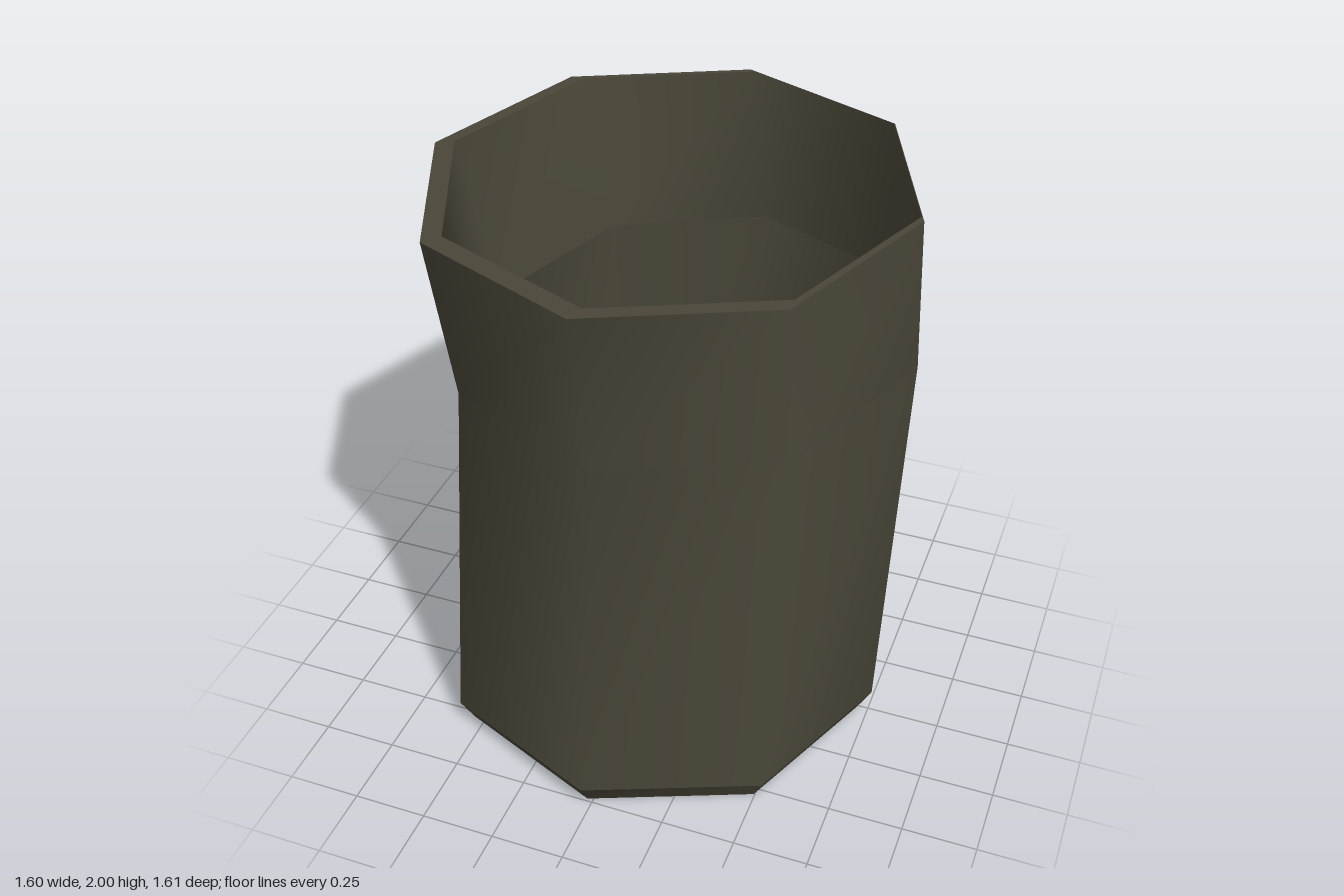
import * as THREE from 'three';

const SIDES = 8;

// One tilted octagonal ring: centre, radii and slope of its plane
function ring({ x = 0, z = 0, y = 0, rx, rz = rx, sx = 0, sz = 0 }) {
  return Array.from({ length: SIDES }, (_, i) => {
    const a = (i / SIDES) * Math.PI * 2;
    const px = x + Math.cos(a) * rx;
    const pz = z + Math.sin(a) * rz;
    return [px, y + px * sx + pz * sz, pz];
  });
}

// Band of quads between two rings, smooth around and creased at its ends
function band(lower, upper) {
  const index = [];
  for (let i = 0; i < SIDES; i++) {
    const j = (i + 1) % SIDES;
    index.push(i, i + SIDES, j, j, i + SIDES, j + SIDES);
  }
  const g = new THREE.BufferGeometry();
  g.setAttribute('position', new THREE.Float32BufferAttribute([...lower, ...upper].flat(), 3));
  g.setIndex(index);
  g.computeVertexNormals();
  return g;
}

// Flat cap closing a ring, facing up or down
function cap(points, up) {
  const index = [];
  for (let i = 1; i < SIDES - 1; i++) index.push(0, ...(up ? [i + 1, i] : [i, i + 1]));
  const g = new THREE.BufferGeometry();
  g.setAttribute('position', new THREE.Float32BufferAttribute(points.flat(), 3));
  g.setIndex(index);
  g.computeVertexNormals();
  return g;
}

export function createModel() {
  const group = new THREE.Group();
  group.name = 'cup';
  const clay = new THREE.MeshStandardMaterial({ color: 0x4a4638 });
  clay.name = 'dark olive clay';

  const foot = ring({ x: -0.02, z: 0.01, rx: 0.73 });
  const base = ring({ x: -0.02, z: 0.01, y: 0.09, rx: 0.78 });
  const neck = ring({ x: 0.045, z: -0.02, y: 1.435, rx: 0.755, rz: 0.78, sx: 0.02, sz: -0.05 });
  const rim = ring({ x: 0.005, z: 0.025, y: 1.967, rx: 0.78, sx: 0.012, sz: -0.042 });
  const lip = ring({ x: 0.026, z: 0, y: 1.967, rx: 0.746, sx: 0.012, sz: -0.042 });
  const neckInside = ring({ x: 0.08, z: -0.02, y: 1.43, rx: 0.69, rz: 0.72, sx: 0.02, sz: -0.05 });
  const floor = ring({ x: -0.02, z: -0.01, y: 0.1, rx: 0.715 });

  const add = (name, geometry) => {
    const mesh = new THREE.Mesh(geometry, clay);
    mesh.name = name;
    group.add(mesh);
  };

  // Outside, from the underside up to the rim
  add('underside', cap(foot, false));
  add('footBevel', band(foot, base));
  add('outerWall', band(base, neck));
  add('outerCollar', band(neck, rim));
  add('rim', band(rim, lip));
  // Inside, from the lip down to the floor
  add('innerCollar', band(lip, neckInside));
  add('innerWall', band(neckInside, floor));
  add('floor', cap(floor, true));
  return group;
}
